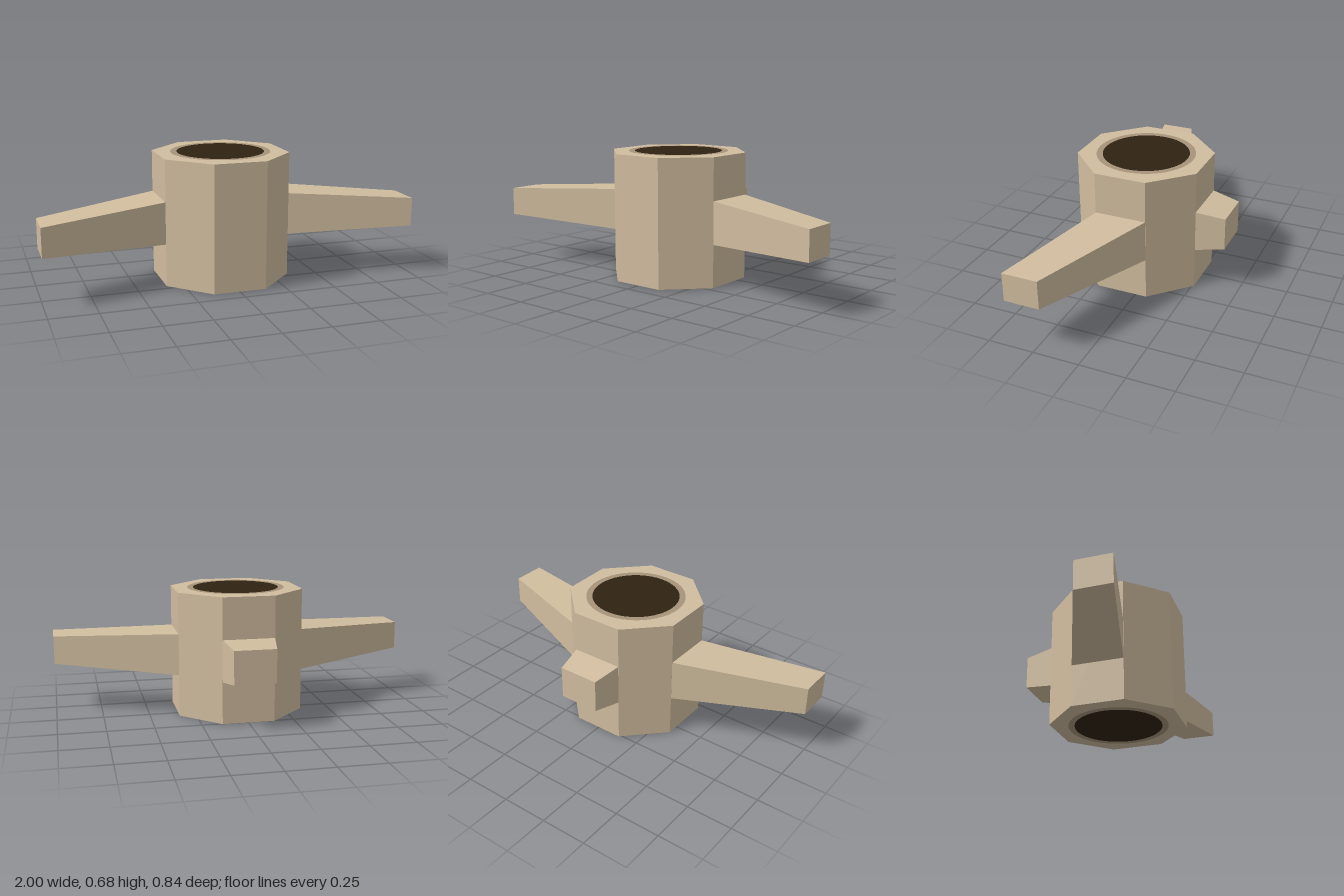
import * as THREE from 'three';

const sand = new THREE.MeshStandardMaterial({ color: 0xd1bd9f, flatShading: true });
sand.name = 'sand';
const rimBrown = new THREE.MeshStandardMaterial({ color: 0xa8937b });
rimBrown.name = 'rimBrown';
const darkBore = new THREE.MeshStandardMaterial({ color: 0x2f2311 });
darkBore.name = 'darkBore';

const HEIGHT = 0.684, LIFT = 0.002, APOTHEM = 0.342, CENTER_Z = 0.078;

// Box along +x whose two end rectangles are set separately: { x, y: [min, max], z: [min, max] }
function taperedBar(root, tip) {
  const geo = new THREE.BoxGeometry(1, 1, 1);
  const p = geo.attributes.position;
  for (let i = 0; i < p.count; i++) {
    const end = p.getX(i) > 0 ? tip : root;
    p.setXYZ(i, end.x, end.y[p.getY(i) > 0 ? 1 : 0], end.z[p.getZ(i) > 0 ? 1 : 0]);
  }
  geo.computeVertexNormals();
  return geo;
}

function add(parent, name, geometry, material) {
  const mesh = new THREE.Mesh(geometry, material);
  mesh.name = name;
  parent.add(mesh);
  return mesh;
}

export function createModel() {
  const model = new THREE.Group();
  model.name = 'wingNut';

  // Octagonal hub with flat sides facing the axes
  const radius = APOTHEM / Math.cos(Math.PI / 8);
  const hubGeo = new THREE.CylinderGeometry(radius, radius, HEIGHT - 2 * LIFT, 8);
  hubGeo.rotateY(Math.PI / 8);
  add(model, 'hub', hubGeo, sand).position.set(0, HEIGHT / 2, CENTER_Z);

  // Painted bore and rim on both ends
  for (const side of [1, -1]) {
    const end = new THREE.Group();
    end.name = side > 0 ? 'topOpening' : 'bottomOpening';
    add(end, 'rim', new THREE.RingGeometry(0.235, 0.268, 48), rimBrown);
    add(end, 'bore', new THREE.CircleGeometry(0.235, 48), darkBore);
    end.rotation.x = -side * Math.PI / 2;
    end.position.set(0, side > 0 ? HEIGHT : 0, CENTER_Z);
    model.add(end);
  }

  // Swept wings, mirrored by turning the bar over
  const wingY = [0.23, 0.457], tipY = [0.266, 0.421];
  add(model, 'leftWing', taperedBar(
    { x: 0.341, y: wingY, z: [-0.063, 0.218] },
    { x: 1, y: tipY, z: [0.196, 0.388] }), sand);
  const right = add(model, 'rightWing', model.getObjectByName('leftWing').geometry, sand);
  right.rotation.z = Math.PI;
  right.position.y = wingY[0] + wingY[1];

  // Short stub at the back
  const stub = add(model, 'backStub', taperedBar(
    { x: 0.263, y: wingY, z: [-0.141, 0.141] },
    { x: 0.42, y: [0.253, 0.433], z: [-0.112, 0.112] }), sand);
  stub.rotation.y = Math.PI / 2;

  return model;
}
